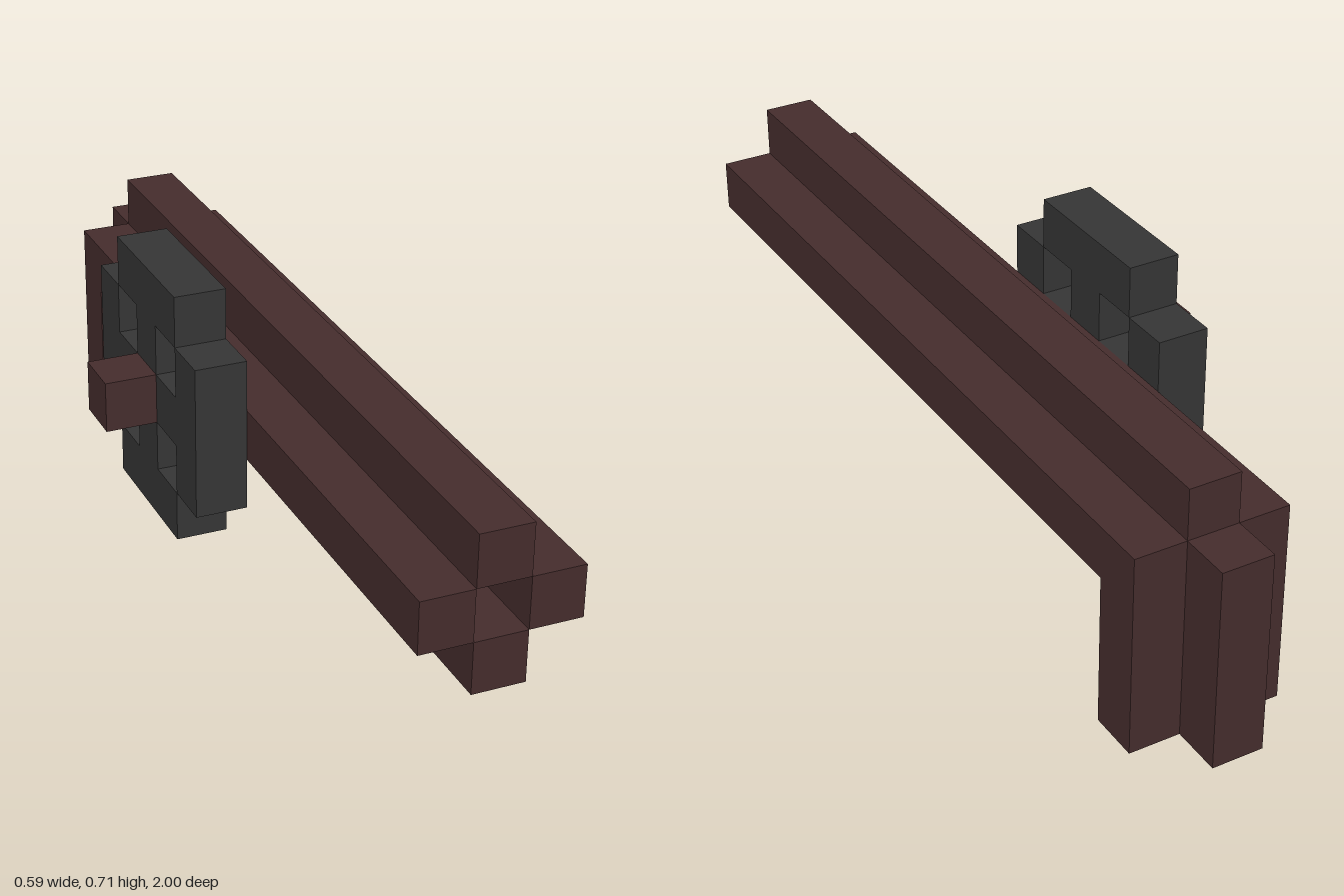
import * as THREE from 'three';

const U = 2 / 17; // one cell of the block grid

export function createModel() {
  const model = new THREE.Group();
  model.name = 'pipeWithValve';
  const rust = new THREE.MeshStandardMaterial({ color: 0x462d2d });
  rust.name = 'rustBrown';
  const iron = new THREE.MeshStandardMaterial({ color: 0x363636 });
  iron.name = 'darkIron';

  // Box given by its lowest grid corner and its size in cells; z counts from the back
  function block(parent, name, material, [x, y, z], [w, h, d]) {
    const mesh = new THREE.Mesh(new THREE.BoxGeometry(w * U, h * U, d * U), material);
    mesh.position.set((x + w / 2 - 2.5) * U, (y + h / 2) * U, (z + d / 2 - 8.5) * U);
    mesh.name = name;
    parent.add(mesh);
  }
  function group(name) {
    const g = new THREE.Group();
    g.name = name;
    model.add(g);
    return g;
  }

  // Hollow horizontal pipe: four walls around an open core
  const pipe = group('horizontalPipe');
  block(pipe, 'topWall', rust, [3, 4, 1], [1, 1, 16]);
  block(pipe, 'bottomWall', rust, [3, 2, 2], [1, 1, 15]);

  // Hollow downpipe at the back
  const down = group('downPipe');
  block(down, 'backWall', rust, [3, 0, 0], [1, 4, 1]);
  block(down, 'frontWall', rust, [3, 0, 2], [1, 2, 1]);

  // Side walls of both pipes
  for (const [side, x] of [['right', 2], ['left', 4]]) {
    block(pipe, side + 'Wall', rust, [x, 3, 1], [1, 1, 16]);
    block(down, side + 'DownWall', rust, [x, 0, 1], [1, 3, 1]);
  }

  // Valve wheel: rim bars and a cross of spokes
  const wheel = group('valveWheel');
  for (const y of [1, 5]) block(wheel, 'rimBar', iron, [1, y, 6], [1, 1, 3]);
  for (const z of [5, 9]) block(wheel, 'rimPost', iron, [1, 2, z], [1, 3, 1]);
  block(wheel, 'verticalSpoke', iron, [1, 2, 7], [1, 3, 1]);
  for (const z of [6, 8]) block(wheel, 'sideSpoke', iron, [1, 3, z], [1, 1, 1]);

  // Spindle end in the middle of the wheel
  block(model, 'spindleKnob', rust, [0, 3, 7], [1, 1, 1]);

  return model;
}
